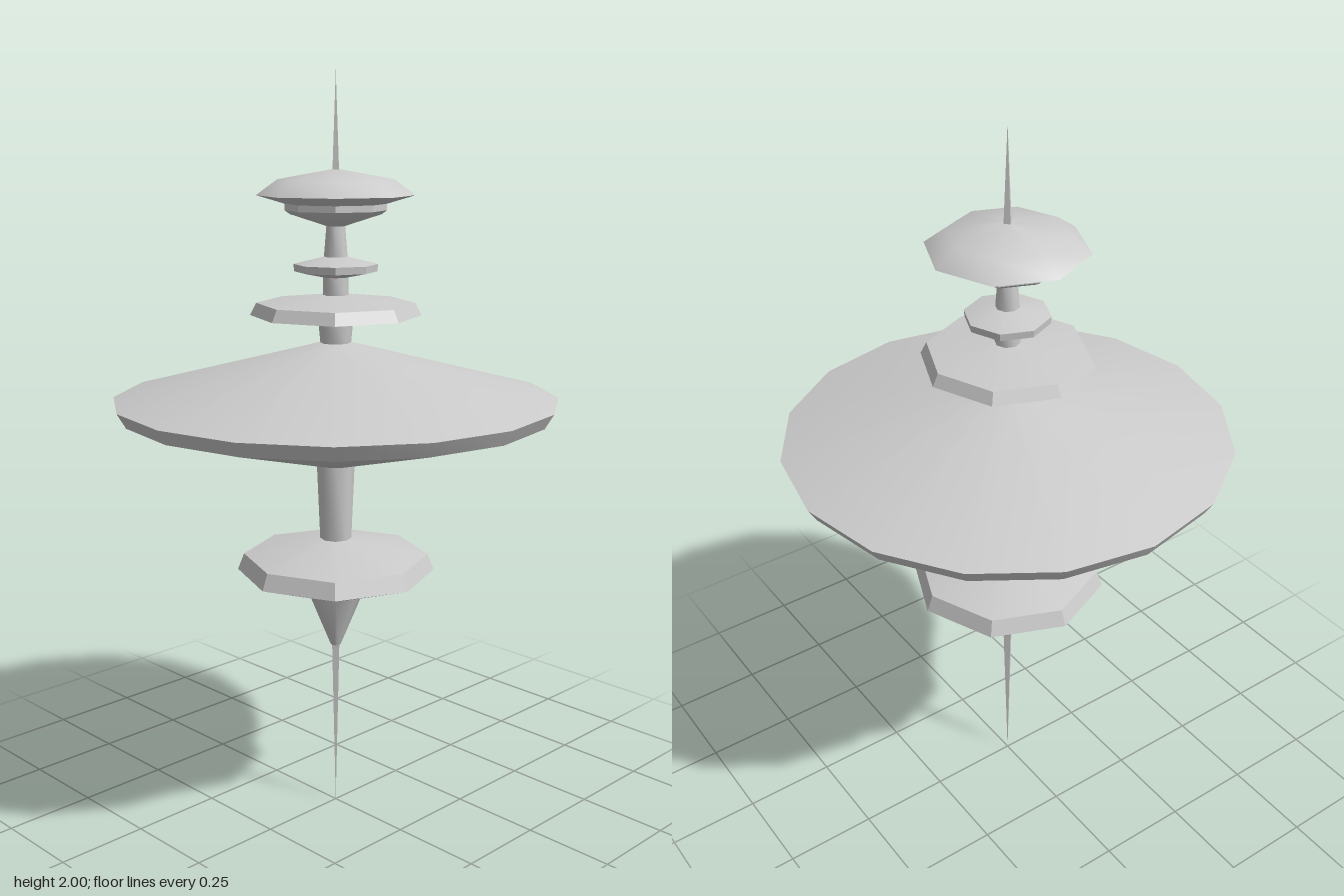
import * as THREE from 'three';
import { toCreasedNormals } from 'three/addons/utils/BufferGeometryUtils.js';

const SOFT = 0.95; // rounds off slender stems, keeps strong ridges
const CRISP = 0.55; // keeps the rims of the discs sharp

export function createModel() {
  const model = new THREE.Group();
  const material = new THREE.MeshStandardMaterial({ color: 0xcccccc });

  // Turned part: profile is a list of [radius, height] from bottom to top
  function turned(name, sides, crease, profile) {
    const points = profile.map(([r, y]) => new THREE.Vector2(r, y));
    const geometry = toCreasedNormals(new THREE.LatheGeometry(points, sides), crease);
    const mesh = new THREE.Mesh(geometry, material);
    mesh.name = name;
    model.add(mesh);
  }

  // Lower needle and the funnel it hangs from
  turned('lowerSpike', 4, SOFT, [[0, 0], [0.014, 0.47]]);
  turned('lowerFunnel', 8, SOFT, [[0, 0.468], [0.014, 0.469], [0.074, 0.617]]);

  // Lower habitat disc
  turned('lowerDisc', 8, CRISP, [[0, 0.617], [0.074, 0.617], [0.267, 0.686], [0.25, 0.73], [0.042, 0.776], [0, 0.776]]);

  // Stem below the main saucer, slightly flared upwards
  turned('lowerStem', 8, SOFT, [[0.042, 0.77], [0.051, 0.99]]);

  // Main saucer with a bevelled rim
  turned('mainSaucer', 16, CRISP, [[0, 0.982], [0.05, 0.982], [0.567, 1.124], [0.59, 1.163], [0.04, 1.31], [0, 1.31]]);
  turned('saucerNeck', 8, SOFT, [[0.04, 1.305], [0.046, 1.37]]);

  // Middle collar
  turned('middleDisc', 8, CRISP, [[0, 1.368], [0.046, 1.368], [0.224, 1.382], [0.208, 1.414], [0.04, 1.435], [0, 1.435]]);
  turned('middleStem', 8, SOFT, [[0.033, 1.43], [0.033, 1.485]]);

  // Small ring disc
  turned('smallDisc', 8, CRISP, [[0, 1.481], [0.033, 1.481], [0.108, 1.496], [0.11, 1.515], [0.03, 1.534], [0, 1.534]]);
  turned('upperStem', 8, SOFT, [[0.031, 1.53], [0.024, 1.616]]);

  // Top dome with a stepped underside
  turned('domeBase', 8, CRISP, [[0, 1.612], [0.024, 1.612], [0.118, 1.642], [0.132, 1.652], [0.132, 1.674]]);
  turned('topDome', 8, CRISP, [[0, 1.668], [0.13, 1.668], [0.205, 1.69], [0.15, 1.73], [0.012, 1.755], [0, 1.755]]);

  // Needle mast
  turned('mast', 4, SOFT, [[0.012, 1.75], [0, 2]]);

  return model;
}
